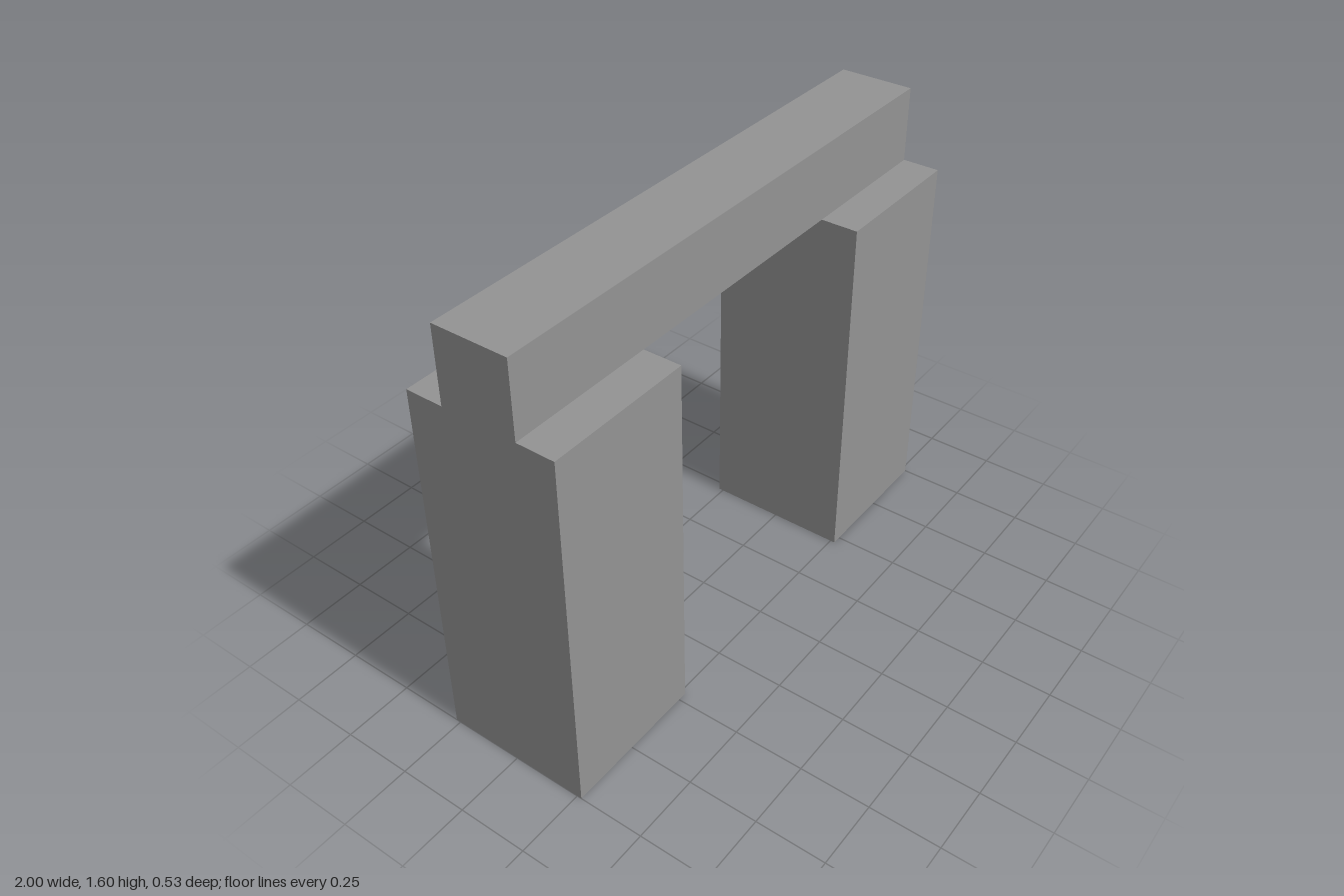
import * as THREE from 'three';

// The gate is laid out on a module: 15 wide, 12 high, 4 deep
const U = 2 / 15;

export function createModel() {
  const group = new THREE.Group();
  group.name = 'gate';
  const material = new THREE.MeshStandardMaterial({ color: 0x939393, flatShading: true });

  // Box given in modules, standing on height y
  const block = (name, w, h, d, x, y) => {
    const mesh = new THREE.Mesh(new THREE.BoxGeometry(w * U, h * U, d * U), material);
    mesh.name = name;
    mesh.position.set(x * U, (y + h / 2) * U, 0);
    group.add(mesh);
  };

  // Two square pillars
  for (const [name, side] of [['leftPillar', 1], ['rightPillar', -1]]) {
    block(name, 4, 10, 4, side * 5.5, 0);
  }

  // Narrow lintel resting across both pillars
  block('lintel', 15, 2, 2, 0, 10);

  return group;
}
